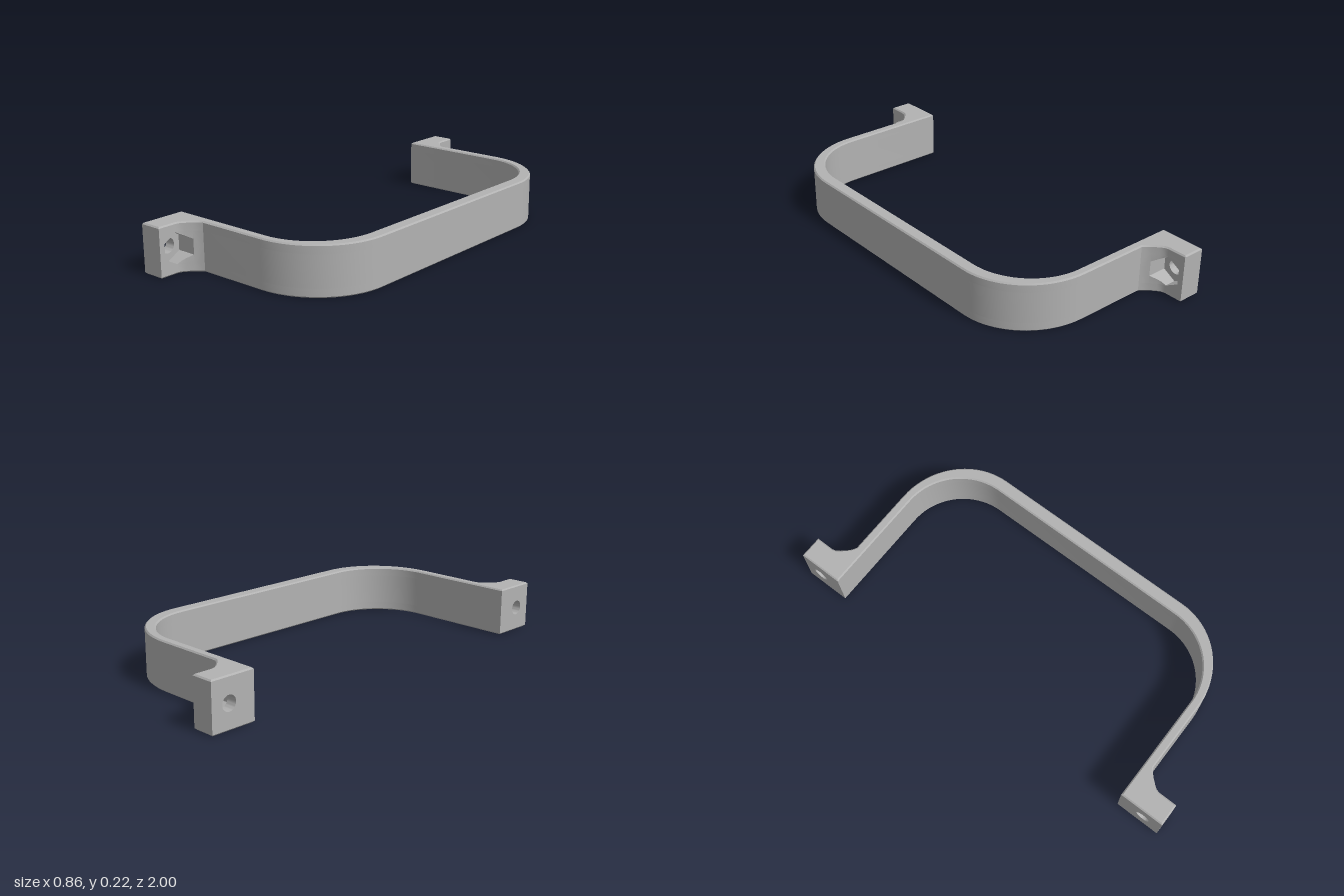
import * as THREE from 'three';
import { toCreasedNormals } from 'three/addons/utils/BufferGeometryUtils.js';

const H = 0.222, MID = H / 2, BEVEL = 0.006, CAP = 0.04;
const BACK = -0.43, FACE = -0.325, FLOOR = -0.38;
const BOLT_Z = 0.915, HOLE_R = 0.034, APOTHEM = 0.06;
const HEX_R = APOTHEM / Math.cos(Math.PI / 6);

// Fillet between foot and arm, as [x, z]
const FILLET = [[FACE, 0.912], [-0.32, 0.895], [-0.309, 0.88], [-0.287, BOLT_Z - APOTHEM], [-0.27, 0.84], [-0.252, 0.83]];

function corner(rx, rz) {
  const pts = [];
  for (let i = 0; i <= 20; i++) {
    const a = Math.PI / 2 * (1 - i / 20);
    pts.push([0.08 + rx * Math.cos(a), 0.5 + rz * Math.sin(a)]);
  }
  return pts;
}

// Closed outline of the handle seen from above, with or without the feet
function outline(withFeet) {
  const start = withFeet ? [[BACK, 1], [FACE, 1], ...FILLET] : [[BACK, 0.83]];
  const outer = [...start, ...corner(0.35, 0.33)];
  const inner = [[BACK, 0.79], ...corner(0.29, 0.29)];
  const mirror = (pts) => pts.map(([x, z]) => [x, -z]);
  const loop = [...outer, ...mirror(outer).reverse(), ...mirror(inner), ...inner.slice().reverse()];
  return new THREE.Shape(loop.map(([x, z]) => new THREE.Vector2(x, z)));
}

// Slab with a chamfer on its outer side only; the inner side is pressed flat
function chamferedSlab() {
  const depth = CAP - BEVEL;
  const g = new THREE.ExtrudeGeometry(outline(true), {
    depth, bevelEnabled: true, bevelSegments: 1, bevelSize: BEVEL, bevelThickness: BEVEL, bevelOffset: -BEVEL,
  });
  const p = g.attributes.position;
  for (let i = 0; i < p.count; i++) p.setZ(i, Math.min(p.getZ(i), depth));
  return g.translate(0, 0, BEVEL);
}

// Middle of a foot between two x positions, pierced by a hole
function footLayer(side, x0, x1, radius, sides) {
  const s = new THREE.Shape();
  const a = -side * 0.825, b = -side;
  s.moveTo(a, CAP);
  s.lineTo(b, CAP);
  s.lineTo(b, H - CAP);
  s.lineTo(a, H - CAP);
  s.closePath();
  const hole = [];
  for (let i = 0; i < sides; i++) {
    const t = Math.PI / 2 + i / sides * Math.PI * 2;
    hole.push(new THREE.Vector2(-side * BOLT_Z + radius * Math.cos(t), MID + radius * Math.sin(t)));
  }
  s.holes.push(new THREE.Path(hole));
  return new THREE.ExtrudeGeometry(s, { depth: x1 - x0, bevelEnabled: false })
    .rotateY(Math.PI / 2).translate(x0, 0, 0);
}

// Middle of the fillet, notched where the hexagonal pocket runs through it
function notchedFillet(side) {
  const pos = [];
  const quad = (a, b, c, d, flip) => {
    const q = flip ? [a, c, b, a, d, c] : [a, b, c, a, c, d];
    for (const [x, y, z] of q) pos.push(x, y, side * z);
  };
  const wall = BOLT_Z - APOTHEM;
  const half = (z) => HEX_R / 2 + (z - wall) / Math.sqrt(3);
  for (let i = 0; i < FILLET.length - 1; i++) {
    const [x1, z1] = FILLET[i], [x0, z0] = FILLET[i + 1];
    const notched = z0 >= wall - 1e-6;
    for (const dir of [-1, 1]) {
      const edge = MID + dir * (MID - CAP);
      const flip = dir * side < 0;
      const y0 = notched ? MID + dir * half(z0) : MID;
      const y1 = notched ? MID + dir * half(z1) : MID;
      quad([x0, y0, z0], [x0, edge, z0], [x1, edge, z1], [x1, y1, z1], !flip);
      if (notched) quad([FACE, y0, z0], [x0, y0, z0], [x1, y1, z1], [FACE, y1, z1], flip);
    }
  }
  // flat wall of the pocket
  const xw = FILLET[3][0], h = HEX_R / 2;
  quad([FACE, MID - h, wall], [xw, MID - h, wall], [xw, MID + h, wall], [FACE, MID + h, wall], side < 0);
  const g = new THREE.BufferGeometry();
  g.setAttribute('position', new THREE.Float32BufferAttribute(pos, 3));
  return g;
}

export function createModel() {
  const group = new THREE.Group();
  const grey = new THREE.MeshStandardMaterial({ color: 0xb2b2b2, side: THREE.DoubleSide });
  grey.name = 'grey';
  const add = (name, geometry) => {
    const mesh = new THREE.Mesh(toCreasedNormals(geometry, 0.4), grey);
    mesh.name = name;
    group.add(mesh);
  };

  // Handle: chamfered lower and upper slabs around a plain band
  add('lowerHandle', chamferedSlab().rotateX(-Math.PI / 2));
  add('upperHandle', chamferedSlab().rotateX(Math.PI / 2).translate(0, H, 0));
  add('middleBand', new THREE.ExtrudeGeometry(outline(false), { depth: H - 2 * CAP, bevelEnabled: false })
    .rotateX(-Math.PI / 2).translate(0, CAP, 0));

  // Feet: round bolt hole at the back, hexagonal nut pocket at the front
  for (const side of [1, -1]) {
    const label = side > 0 ? 'front' : 'back';
    add(label + 'FootBoltHole', footLayer(side, BACK, FLOOR, HOLE_R, 32));
    add(label + 'FootNutPocket', footLayer(side, FLOOR, FACE, HEX_R, 6));
    add(label + 'FootFillet', notchedFillet(side));
  }
  return group;
}
